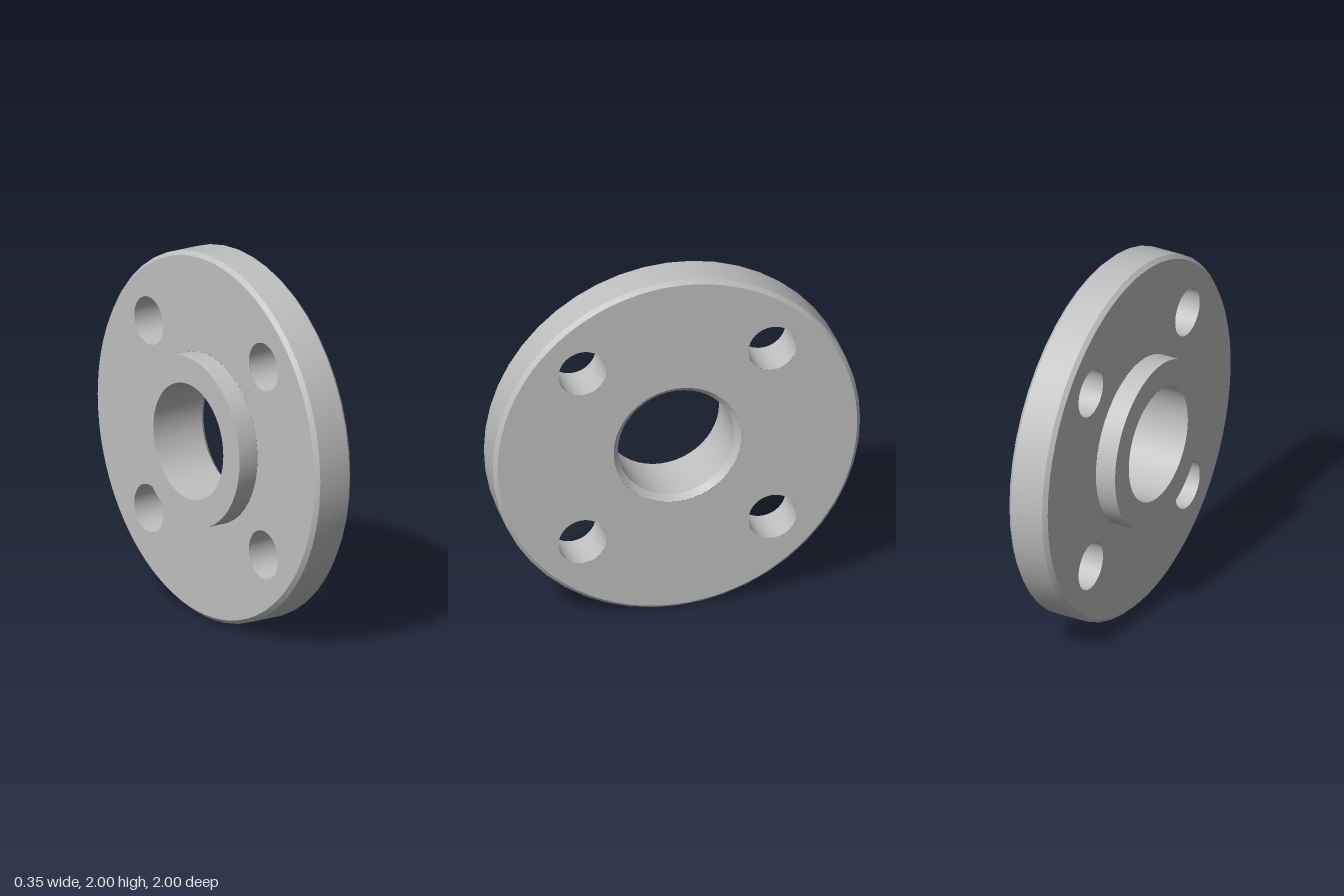
import * as THREE from 'three';
import { toCreasedNormals } from 'three/addons/utils/BufferGeometryUtils.js';

const SEGMENTS = 48;
const BACK = -0.174, PLATE = -0.058, FRONT = 0.174; // stations along the axis
const RIM = 1, CHAMFER = 0.022;
const HUB = 0.463, BORE = 0.316, BORE_EDGE = 0.347;
const BOLT = 0.131, BOLT_OFFSET = 0.517;

export function createModel() {
  const steel = new THREE.MeshStandardMaterial({ color: 0xc0c0c0 });
  steel.name = 'light grey metal';

  // Everything is built around the y axis, then tipped so the axis lies on x
  const flange = new THREE.Group();
  flange.name = 'flange';

  const add = (name, geometry) => {
    const mesh = new THREE.Mesh(geometry, steel);
    mesh.name = name;
    flange.add(mesh);
    return mesh;
  };
  const turned = (name, profile) => {
    const points = profile.map(([r, y]) => new THREE.Vector2(r, y));
    return add(name, toCreasedNormals(new THREE.LatheGeometry(points, SEGMENTS), 0.5));
  };

  // Flat plate face with a centre opening and four bolt holes
  const face = (name, innerRadius, y, side) => {
    const shape = new THREE.Shape().absarc(0, 0, RIM - CHAMFER, 0, Math.PI * 2);
    const hole = (x, z, r) => shape.holes.push(new THREE.Path().absarc(x, z, r, 0, Math.PI * 2, true));
    hole(0, 0, innerRadius);
    for (const sx of [-1, 1]) for (const sz of [-1, 1]) hole(sx * BOLT_OFFSET, sz * BOLT_OFFSET, BOLT);
    const geometry = new THREE.ShapeGeometry(shape, SEGMENTS);
    geometry.rotateX(-side * Math.PI / 2).translate(0, y, 0);
    add(name, geometry);
  };
  face('frontFace', BORE_EDGE, FRONT, 1);
  face('backFace', HUB, PLATE, -1);

  // Chamfered outer rim
  turned('rim', [
    [RIM - CHAMFER, PLATE], [RIM, PLATE + CHAMFER],
    [RIM, FRONT - CHAMFER], [RIM - CHAMFER, FRONT],
  ]);

  // Bore with its countersunk edge, and the raised hub behind the plate
  turned('bore', [[BORE_EDGE, FRONT], [BORE, FRONT - (BORE_EDGE - BORE)], [BORE, BACK]]);
  turned('hub', [[BORE, BACK], [HUB, BACK], [HUB, PLATE]]);

  // Bolt hole walls
  for (const sx of [-1, 1]) for (const sz of [-1, 1]) {
    turned('boltHole', [[BOLT, FRONT], [BOLT, PLATE]])
      .position.set(sx * BOLT_OFFSET, 0, sz * BOLT_OFFSET);
  }

  flange.rotation.z = -Math.PI / 2;
  flange.position.y = RIM;

  const model = new THREE.Group();
  model.name = 'pipeFlange';
  model.add(flange);
  return model;
}
